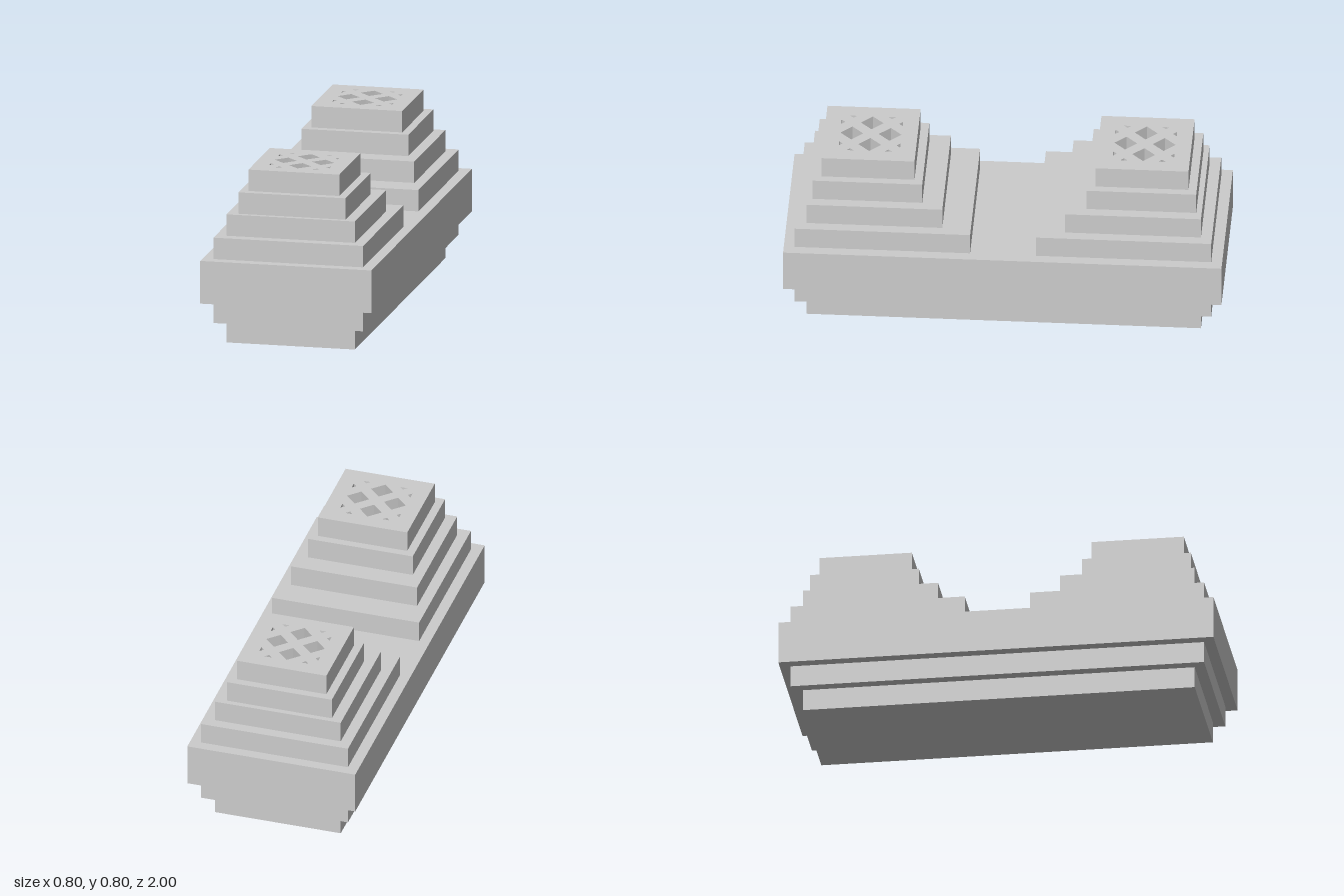
import * as THREE from 'three';

const material = new THREE.MeshStandardMaterial({ color: 0xcccccc, flatShading: true });

// Box given by its half width, height range and depth range
function slab(name, halfX, y0, y1, z0, z1) {
  const mesh = new THREE.Mesh(new THREE.BoxGeometry(halfX * 2, y1 - y0, z1 - z0), material);
  mesh.position.set(0, (y0 + y1) / 2, (z0 + z1) / 2);
  mesh.name = name;
  return mesh;
}

const polygon = (points, Type) => new Type(points.map(([x, y]) => new THREE.Vector2(x, y)));

// Top block pierced by a diamond lattice that is clipped to a square
function latticeBlock(half, height) {
  const step = 0.0875, r = 0.052, clip = 0.14;
  const shape = polygon([[-half, -half], [half, -half], [half, half], [-half, half]], THREE.Shape);
  for (let i = 0; i < 4; i++) {
    const c = Math.round(Math.cos(i * Math.PI / 2)), s = Math.round(Math.sin(i * Math.PI / 2));
    const hole = (points) => shape.holes.push(
      polygon(points.map(([x, y]) => [x * c - y * s, x * s + y * c]), THREE.Path));
    // Whole diamond
    hole([[step - r, 0], [step, r], [step + r, 0], [step, -r]]);
    // Two clipped diamond tips along the edge of the square
    const tip = 2 * step - r, w = clip - tip;
    for (const y of [-step, step]) hole([[tip, y], [clip, y + w], [clip, y - w]]);
  }
  const geometry = new THREE.ExtrudeGeometry(shape, { depth: height, bevelEnabled: false });
  geometry.rotateX(-Math.PI / 2);
  const mesh = new THREE.Mesh(geometry, material);
  mesh.name = 'latticeTop';
  return mesh;
}

// Stepped tower with steps wider towards the middle of the model
function tower(name) {
  const group = new THREE.Group();
  group.name = name;
  group.add(
    slab('lowerStep', 0.35, 0.4, 0.5, 0.15, 0.95),
    slab('middleStep', 0.3, 0.5, 0.6, 0.28, 0.9),
    slab('upperStep', 0.25, 0.6, 0.7, 0.375, 0.875));
  const top = latticeBlock(0.2125, 0.1);
  top.position.set(0, 0.7, 0.625);
  group.add(top);
  return group;
}

export function createModel() {
  const model = new THREE.Group();
  model.name = 'twinSteppedTowers';

  // Base widening upwards
  model.add(
    slab('foot', 0.3, 0, 0.1, -0.9, 0.9),
    slab('lowerBase', 0.35, 0.1, 0.2, -0.95, 0.95),
    slab('mainBase', 0.4, 0.2, 0.4, -1, 1));

  // Towers facing each other
  const front = tower('frontTower');
  const back = tower('backTower');
  back.rotation.y = Math.PI;
  model.add(front, back);
  return model;
}
